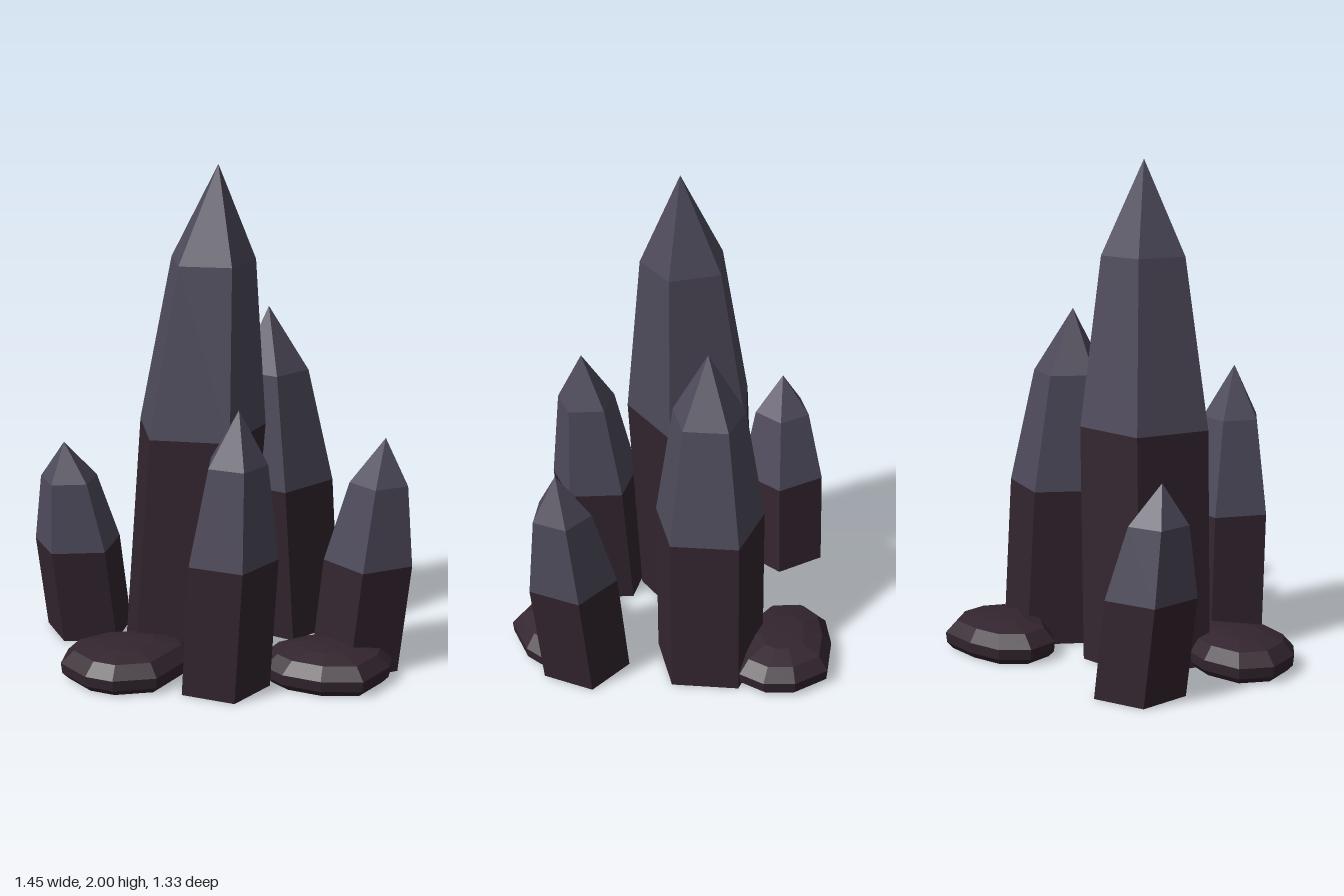
import * as THREE from 'three';

const crystalGrey = new THREE.MeshStandardMaterial({ color: 0x4e4a5b, flatShading: true });
crystalGrey.name = 'slate crystal';
const darkStone = new THREE.MeshStandardMaterial({ color: 0x33252f, flatShading: true });
darkStone.name = 'dark plum stone';

// Skin a stack of rings (each a list of [x, y, z]), skipping collapsed triangles.
function loft(rings, material, name) {
  const pos = [];
  const same = (p, q) => Math.hypot(p[0] - q[0], p[1] - q[1], p[2] - q[2]) < 1e-6;
  const tri = (a, b, c) => {
    if (!same(a, b) && !same(b, c) && !same(a, c)) pos.push(...a, ...b, ...c);
  };
  for (let k = 0; k < rings.length - 1; k++) {
    const lo = rings[k], hi = rings[k + 1], n = lo.length;
    for (let i = 0; i < n; i++) {
      const j = (i + 1) % n;
      tri(lo[i], hi[i], hi[j]);
      tri(lo[i], hi[j], lo[j]);
    }
  }
  const geo = new THREE.BufferGeometry();
  geo.setAttribute('position', new THREE.Float32BufferAttribute(pos, 3));
  geo.computeVertexNormals();
  const mesh = new THREE.Mesh(geo, material);
  mesh.name = name;
  return mesh;
}

// Five-sided leaning crystal: dark shaft below, pale tapered point above.
function crystal(name, { base, tip, height, radius, turn }) {
  const ring = (t, s) => Array.from({ length: 5 }, (_, i) => {
    const a = THREE.MathUtils.degToRad(turn + i * 72);
    return [
      base[0] + (tip[0] - base[0]) * t + Math.cos(a) * radius * s,
      height * t,
      base[1] + (tip[1] - base[1]) * t + Math.sin(a) * radius * s,
    ];
  });
  const group = new THREE.Group();
  group.name = name;
  group.add(
    loft([ring(0, 0), ring(0, 1), ring(0.473, 1)], darkStone, name + 'Shaft'),
    loft([ring(0.473, 1), ring(0.812, 0.655), ring(1, 0)], crystalGrey, name + 'Point'),
  );
  return group;
}

// Flat rounded stone: an irregular outline scaled through a low dome profile [scale, y].
const stoneProfile = [[0, 0], [0.88, 0], [0.98, 0.025], [1, 0.068], [0.8, 0.118], [0.42, 0.14], [0, 0.145]];
function stone(name, [cx, cz], outline) {
  const rings = stoneProfile.map(([s, y]) =>
    outline.map(([x, z]) => [cx + (x - cx) * s, y, cz + (z - cz) * s]));
  return loft(rings, darkStone, name);
}

export function createModel() {
  const model = new THREE.Group();
  model.name = 'crystalCluster';

  model.add(
    crystal('mainCrystal', { base: [-0.14, 0.035], tip: [0, 0.08], height: 2, radius: 0.27, turn: 0 }),
    crystal('backCrystal', { base: [0.33, -0.16], tip: [0.238, -0.12], height: 1.39, radius: 0.23, turn: 93 }),
    crystal('frontCrystal', { base: [-0.04, 0.45], tip: [0.012, 0.513], height: 1.14, radius: 0.187, turn: 84.5 }),
    crystal('rightCrystal', { base: [-0.507, -0.208], tip: [-0.602, -0.16], height: 0.84, radius: 0.185, turn: 130 }),
    crystal('leftCrystal', { base: [0.53, 0.313], tip: [0.616, 0.367], height: 0.96, radius: 0.185, turn: 39.5 }),
  );

  model.add(
    stone('rightStone', [-0.4, 0.3], [
      [-0.665, 0.305], [-0.625, 0.17], [-0.47, 0.103], [-0.29, 0.107], [-0.15, 0.17],
      [-0.125, 0.305], [-0.307, 0.508], [-0.48, 0.511], [-0.58, 0.45]]),
    stone('leftStone', [0.39, 0.455], [
      [0.125, 0.46], [0.16, 0.313], [0.32, 0.254], [0.45, 0.24], [0.59, 0.32],
      [0.643, 0.46], [0.615, 0.535], [0.478, 0.663], [0.315, 0.636], [0.18, 0.55]]),
    stone('backStone', [0.24, -0.455], [
      [-0.047, -0.45], [0.015, -0.566], [0.15, -0.632], [0.323, -0.668], [0.447, -0.57],
      [0.49, -0.45], [0.466, -0.34], [0.31, -0.25], [0.14, -0.278], [0.008, -0.32]]),
  );
  return model;
}
